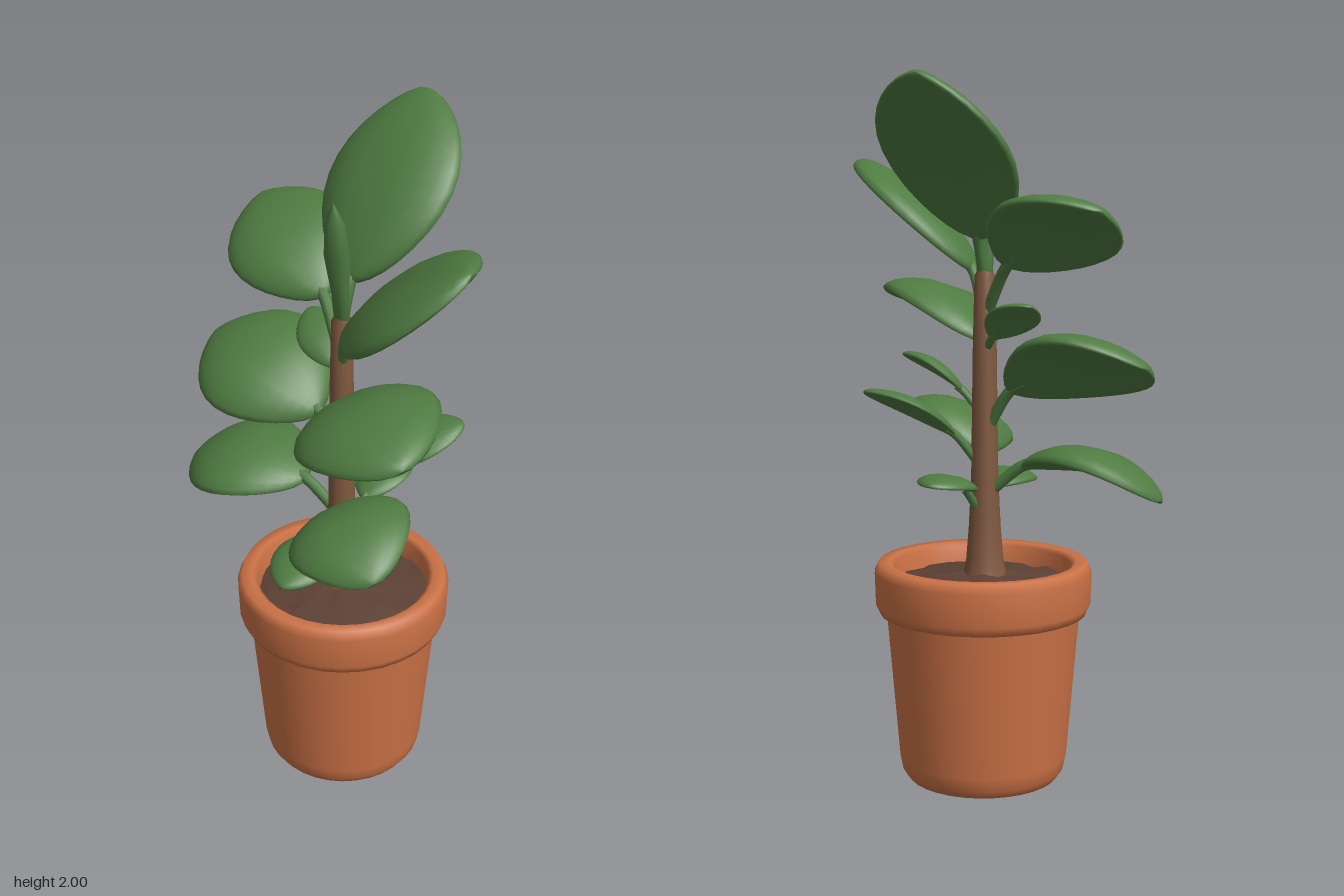
import * as THREE from 'three';

const mat = (name, color) => {
  const m = new THREE.MeshStandardMaterial({ color });
  m.name = name;
  return m;
};
const leafMat = mat('leaf green', 0x4f7b41);
const potMat = mat('terracotta', 0xcb7246);
const barkMat = mat('bark brown', 0x80593f);
const soilMat = mat('soil brown', 0x5c4034);

const lathe = (pts, seg) => new THREE.LatheGeometry(pts.map((p) => new THREE.Vector2(...p)), seg);

function add(parent, name, geo, material) {
  const mesh = new THREE.Mesh(geo, material);
  mesh.name = name;
  parent.add(mesh);
  return mesh;
}

// Moves every vertex by a rule and refreshes the normals
function reshape(geo, rule) {
  const p = geo.attributes.position, v = new THREE.Vector3();
  for (let i = 0; i < p.count; i++) {
    rule(v.fromBufferAttribute(p, i));
    p.setXYZ(i, v.x, v.y, v.z);
  }
  geo.computeVertexNormals();
  return geo;
}

// Fleshy domed blade: closed cross-sections swept from base to tip along a bowed spine
function bladeGeometry(base, tip, width, up, bow) {
  const R = 16, M = 20, pos = [], idx = [];
  const a = tip.clone().sub(base).normalize();
  const n = up.clone().addScaledVector(a, -up.dot(a)).normalize();
  const s = a.clone().cross(n);
  for (let i = 0; i <= R; i++) {
    const u = (1 - Math.cos((Math.PI * i) / R)) / 2;
    const f = Math.pow(Math.max(Math.sin(Math.PI * Math.pow(u, 1.05)), 0), 0.6);
    const w = (width / 2) * f + 0.002;
    const thick = 0.075 * width * Math.sqrt(f) + 0.001;
    const c = base.clone().lerp(tip, u).addScaledVector(n, 4 * u * (1 - u) * bow);
    for (let j = 0; j < M; j++) {
      const t = (2 * Math.PI * j) / M, v = -Math.cos(t), k = Math.sin(t);
      // rounded rim, shallow midrib crease, edges turned down
      const h = thick * Math.sign(k) * Math.pow(Math.abs(k), 0.75) + w * (0.1 * Math.abs(v) - 0.28 * v * v);
      const p = c.clone().addScaledVector(s, v * w).addScaledVector(n, h);
      pos.push(p.x, p.y, p.z);
    }
  }
  for (let i = 0; i < R; i++) {
    for (let j = 0; j < M; j++) {
      const p = i * M + j, q = i * M + ((j + 1) % M);
      idx.push(p, q, q + M, p, q + M, p + M);
    }
  }
  const g = new THREE.BufferGeometry();
  g.setAttribute('position', new THREE.Float32BufferAttribute(pos, 3));
  g.setIndex(idx);
  g.computeVertexNormals();
  return g;
}

// Blade plus a stalk rising from the trunk at stalkY; lean tips the blade towards the front
function addLeaf(root, name, stalkY, base, tip, width, lean = 0.35, bow = width * 0.15) {
  const group = new THREE.Group();
  group.name = name;
  root.add(group);
  const b = new THREE.Vector3(...base), t = new THREE.Vector3(...tip);
  const up = new THREE.Vector3(0, 0.9, lean).normalize();
  add(group, 'blade', bladeGeometry(b, t, width, up, bow), leafMat);
  const end = b.clone().lerp(t, 0.1).addScaledVector(up, bow * 0.3 - 0.004);
  const path = new THREE.CatmullRomCurve3([new THREE.Vector3(0, stalkY, 0), b, end]);
  add(group, 'stalk', new THREE.TubeGeometry(path, 10, width > 0.25 ? 0.017 : 0.012, 8), leafMat);
}

export function createModel() {
  const root = new THREE.Group();
  root.name = 'pottedPlant';

  // Pot with a thick rounded rim, filled with lumpy soil
  const pot = new THREE.Group();
  pot.name = 'pot';
  pot.position.x = 0.006;
  root.add(pot);
  add(pot, 'potBody', lathe([[0, 0.012], [0.19, 0], [0.218, 0.006], [0.235, 0.03],
    [0.243, 0.07], [0.28, 0.51]], 32), potMat);
  add(pot, 'potRim', lathe([[0.26, 0.5], [0.275, 0.49], [0.298, 0.494], [0.31, 0.52], [0.313, 0.615],
    [0.3, 0.641], [0.268, 0.641], [0.254, 0.63], [0.246, 0.56]], 32), potMat);
  const soil = lathe([[0.252, 0.58], [0.2, 0.592], [0.14, 0.598], [0.07, 0.61], [0, 0.62]], 28);
  add(pot, 'soil', reshape(soil, (v) => {
    v.y += 0.008 * Math.sin(v.x * 41 + 1) * Math.cos(v.z * 37);
  }), soilMat);

  // Tapered trunk
  add(root, 'trunk', lathe([[0.066, 0.59], [0.054, 0.64], [0.046, 0.74], [0.039, 0.88],
    [0.034, 1.25], [0.029, 1.46], [0, 1.51]], 14), barkMat);

  // Unopened leaf at the top, leaning slightly forward
  const bud = lathe([[0, 1.45], [0.024, 1.47], [0.026, 1.55], [0.039, 1.66], [0.03, 1.76], [0, 1.82]], 12);
  add(root, 'topBud', reshape(bud, (v) => {
    const t = Math.max(v.y - 1.47, 0) / 0.35;
    v.x += 0.02 * t;
    v.z = v.z * 0.85 + 0.05 * t;
  }), leafMat);

  // Large leaves, top to bottom
  addLeaf(root, 'topLeaf', 1.45, [0, 1.565, -0.03], [-0.09, 1.99, -0.41], 0.42, 1, 0.035);
  addLeaf(root, 'upperLeftLeaf', 1.32, [0.07, 1.47, 0.04], [0.505, 1.78, 0.06], 0.4, 0.28, 0.03);
  addLeaf(root, 'upperRightLeaf', 1.34, [-0.1, 1.49, -0.03], [-0.49, 1.64, -0.155], 0.36, 0.42, 0.05);
  addLeaf(root, 'middleLeftLeaf', 1.11, [0.1, 1.27, 0.1], [0.54, 1.36, 0.32], 0.39, 0.3, 0.07);
  addLeaf(root, 'middleRightLeaf', 1.01, [-0.09, 1.14, 0], [-0.545, 1.23, -0.01], 0.39, 0.43, 0.07);
  addLeaf(root, 'lowerRightLeaf', 0.83, [-0.11, 0.925, 0.035], [-0.525, 0.86, 0.1], 0.36, 0.21, 0.07);
  addLeaf(root, 'lowerLeftLeaf', 0.82, [0.1, 0.94, 0.12], [0.45, 0.98, 0.32], 0.34, 0.35, 0.08);

  // Small leaves
  addLeaf(root, 'smallUpperRightLeaf', 1.24, [-0.05, 1.29, -0.03], [-0.235, 1.385, -0.1], 0.14);
  addLeaf(root, 'smallMiddleLeftLeaf', 1.06, [0.07, 1.13, -0.01], [0.25, 1.23, -0.06], 0.15);
  addLeaf(root, 'smallBackLeftLeaf', 0.9, [0.06, 1.01, -0.06], [0.235, 1.14, -0.25], 0.17);
  addLeaf(root, 'smallBackLeaf', 0.76, [0.01, 0.86, -0.08], [-0.045, 0.905, -0.305], 0.16);
  addLeaf(root, 'smallFrontLeaf', 0.73, [0.055, 0.84, 0.09], [0.14, 0.825, 0.36], 0.19, 0.05);
  return root;
}
